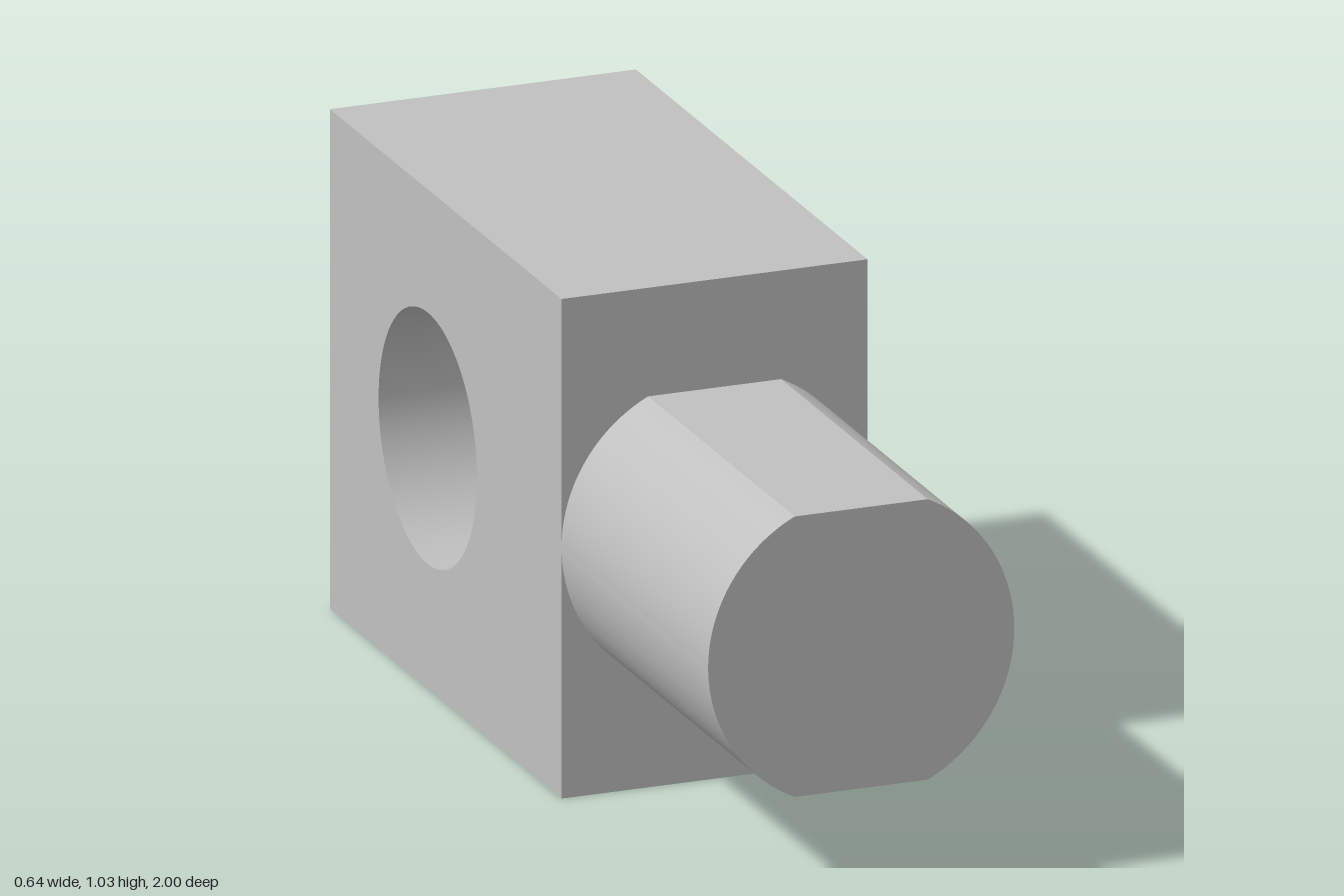
import * as THREE from 'three';
import { toCreasedNormals } from 'three/addons/utils/BufferGeometryUtils.js';

const HALF_WIDTH = 0.322;
const HEIGHT = 1.033;
const MID_Y = HEIGHT / 2;
const SHOULDER_Z = 0.225;

// Straight extrusion with smooth curves and sharp edges
function extrude(shape, depth, curveSegments) {
  const geometry = new THREE.ExtrudeGeometry(shape, { depth, curveSegments, bevelEnabled: false });
  return toCreasedNormals(geometry, Math.PI / 9);
}

export function createModel() {
  const model = new THREE.Group();
  model.name = 'rodEnd';
  const steel = new THREE.MeshStandardMaterial({ color: 0xc0c0c0 });
  steel.name = 'grey steel';

  // Block side profile with the cross hole, extruded across the width
  const side = new THREE.Shape();
  side.moveTo(-SHOULDER_Z, 0);
  side.lineTo(1, 0);
  side.lineTo(1, HEIGHT);
  side.lineTo(-SHOULDER_Z, HEIGHT);
  side.closePath();
  const hole = new THREE.Path();
  hole.absarc(0.482, MID_Y + 0.002, 0.26, 0, Math.PI * 2, true);
  side.holes.push(hole);
  const blockGeometry = extrude(side, HALF_WIDTH * 2, 48);
  blockGeometry.rotateY(Math.PI / 2); // profile x becomes -z
  blockGeometry.translate(-HALF_WIDTH, 0, 0);
  const block = new THREE.Mesh(blockGeometry, steel);
  block.name = 'drilledBlock';
  model.add(block);

  // Round shank with a flat above and below
  const flatAngle = Math.asin(0.29 / HALF_WIDTH);
  const section = new THREE.Shape();
  section.absarc(0, 0, HALF_WIDTH, -flatAngle, flatAngle, false);
  section.absarc(0, 0, HALF_WIDTH, Math.PI - flatAngle, Math.PI + flatAngle, false);
  section.closePath();
  const shank = new THREE.Mesh(extrude(section, 1 - SHOULDER_Z, 40), steel);
  shank.name = 'flattenedShank';
  shank.position.set(0, MID_Y + 0.002, SHOULDER_Z);
  model.add(shank);

  return model;
}
